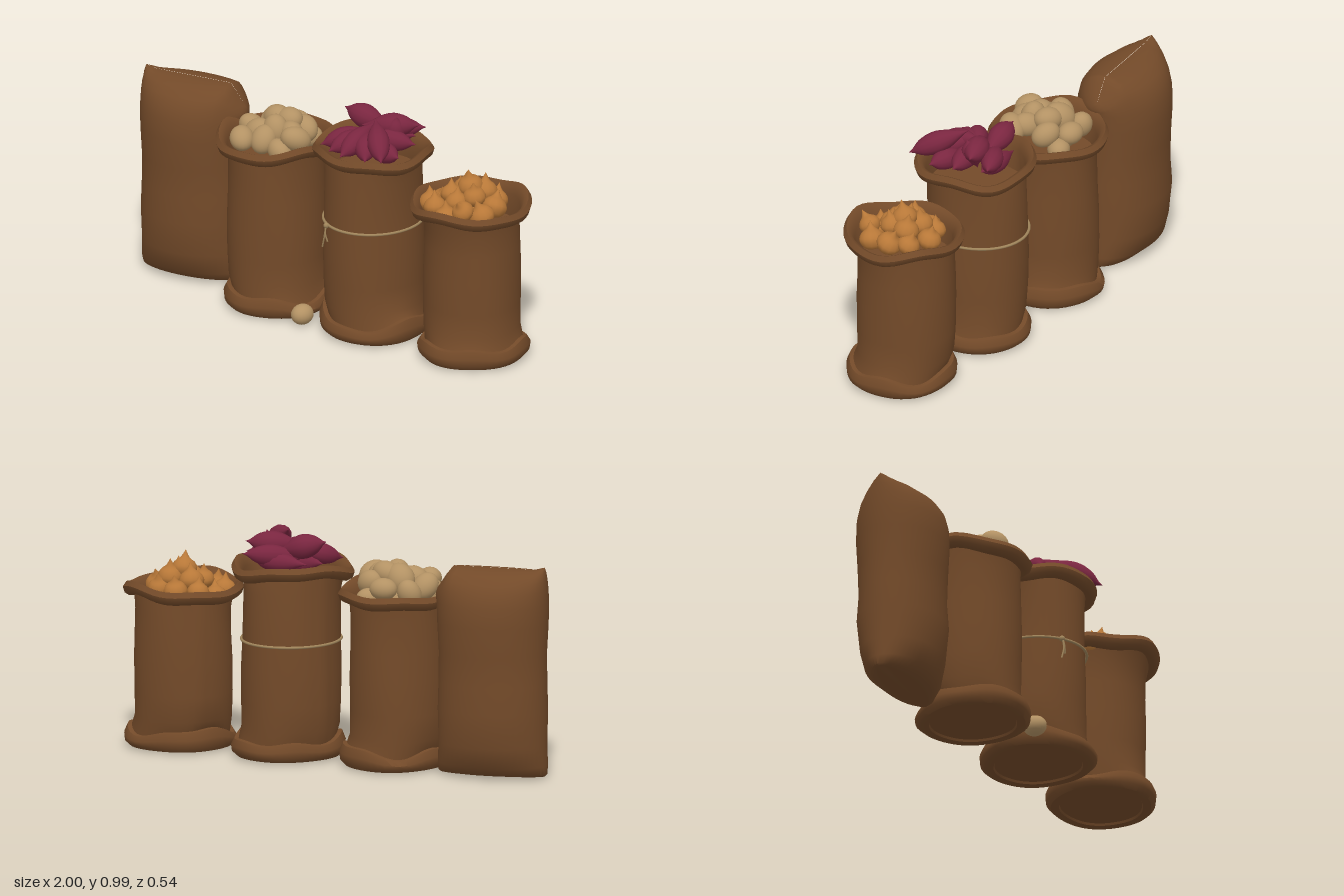
import * as THREE from 'three';
import { mergeVertices, toCreasedNormals } from 'three/addons/utils/BufferGeometryUtils.js';

const mat = (name, color) => new THREE.MeshStandardMaterial({ name, color });
const vec = (p) => new THREE.Vector3(...p);
const { clamp, smoothstep } = THREE.MathUtils;

// Gentle irregular wave around a circle
const wave = (a, s) => (Math.sin(2 * a + s) + Math.sin(3 * a + 2.3 * s) + 0.8 * Math.sin(5 * a + 1.7 * s)) / 2.8;

function weld(geo, crease) {
  geo.deleteAttribute('uv');
  geo.deleteAttribute('normal');
  const welded = mergeVertices(geo, 1e-4);
  if (crease) return toCreasedNormals(welded, crease);
  welded.computeVertexNormals();
  return welded;
}

// Open sack: base, bottom roll, body, rolled rim, inner wall and floor under the filling
function openSackGeometry({ h, seed, depth, back, seam }) {
  const profile = [
    [0, 0.02], [0.18, 0.02], [0.184, 0.01], [0.22, 0.01], [0.24, 0.03], [0.243, 0.058],
    [0.228, 0.088], [0.21, 0.09], [0.209, 0.14], [0.212, 0.25], [0.213, 0.4], [0.209, 0.52],
    [0.208, h - 0.12], [0.214, h - 0.06], [0.236, h - 0.062], [0.256, h - 0.05], [0.264, h - 0.025],
    [0.25, h - 0.002], [0.232, h - 0.01], [0.213, h - 0.05], [0.2, h - 0.14], [0, h - 0.14],
  ].map(([r, y]) => new THREE.Vector2(r, y));
  const geo = new THREE.LatheGeometry(profile, 48);
  const p = geo.attributes.position;
  for (let i = 0; i < p.count; i++) {
    const x = p.getX(i), y = p.getY(i), z = p.getZ(i);
    const a = Math.atan2(x, z);
    const low = clamp(1 - (y - 0.09) / 0.06, 0, 1);
    const high = smoothstep(y, h - 0.16, h - 0.06);
    const ridge = Math.abs(a - seam) < 0.02 && low + high < 0.5 ? 0.025 : 0;
    const swell = 1 + 0.02 * wave(a, seed + y * 3) + 0.035 * (low + high) * wave(a, seed * 2) + ridge;
    const lift = low * clamp((y - 0.02) / 0.06, 0, 1) * 0.03 * wave(a, seed + 2) + high * 0.024 * wave(a, seed + 4);
    const stretch = 1 + (depth - 1) * (1 - high);
    p.setXYZ(i, x * swell + 0.018 * low, y + lift, z * swell * stretch + back * (1 - high) * (1 - low));
  }
  return weld(geo, 0.8);
}

// Closed sack: flat sheet-like seam on top, bulging below
function closedSackGeometry() {
  const rows = [ // height, half width, half depth
    [0.012, 0.235, 0.06], [0.02, 0.243, 0.1], [0.06, 0.245, 0.145], [0.15, 0.24, 0.172], [0.3, 0.243, 0.19],
    [0.42, 0.24, 0.18], [0.55, 0.238, 0.186], [0.68, 0.245, 0.193], [0.77, 0.248, 0.188],
    [0.83, 0.246, 0.17], [0.87, 0.243, 0.142], [0.9, 0.239, 0.1], [0.916, 0.236, 0.05], [0.922, 0.233, 0.001],
  ];
  const n = 48, pos = [], idx = [];
  for (const [y, w, d] of rows) {
    const top = smoothstep(y, 0.75, 0.92);
    for (let i = 0; i < n; i++) {
      const a = (i / n) * Math.PI * 2, c = Math.cos(a);
      const droop = top * (0.1 * Math.max(0, c - 0.72) / 0.28 - 0.012 * Math.max(0, -c - 0.8) / 0.2);
      pos.push(c * w * (c > 0 ? 1 + 0.06 * top : 1), y - droop, Math.sin(a) * d);
    }
  }
  for (let r = 0; r < rows.length - 1; r++) {
    for (let i = 0; i < n; i++) {
      const a = r * n + i, b = r * n + (i + 1) % n;
      idx.push(a, a + n, b, b, a + n, b + n);
    }
  }
  for (let i = 1; i < n - 1; i++) idx.push(0, i, i + 1);
  const geo = new THREE.BufferGeometry();
  geo.setAttribute('position', new THREE.Float32BufferAttribute(pos, 3));
  geo.setIndex(idx);
  return toCreasedNormals(geo, 0.9);
}

const lathe = (pts, seg) => weld(new THREE.LatheGeometry(
  new THREE.SplineCurve(pts.map(([x, y]) => new THREE.Vector2(x, y))).getPoints(18)
    .map((v) => v.setX(Math.max(0, v.x))), seg));

export function createModel() {
  const model = new THREE.Group();
  model.name = 'produceSacks';
  const burlap = mat('burlapBrown', 0x734a29);
  const tan = mat('potatoTan', 0xb39264);
  const purple = mat('sweetPotatoPurple', 0x7a2640);
  const orange = mat('onionOrange', 0xb87838);
  const twine = mat('twineBeige', 0x9f845a);

  const add = (parent, name, geo, material) => {
    const mesh = new THREE.Mesh(geo, material);
    mesh.name = name;
    parent.add(mesh);
    return mesh;
  };
  const group = (name) => {
    const g = new THREE.Group();
    g.name = name;
    model.add(g);
    return g;
  };

  // Sacks, the right-hand two with a raised seam behind
  const closed = add(model, 'closedSack', closedSackGeometry(), burlap);
  closed.position.set(-0.755, 0, -0.05);
  closed.rotation.y = 0.15;
  [
    { name: 'potatoSack', x: -0.285, h: 0.79, seed: 1, depth: 1.04, back: 0, seam: 9 },
    { name: 'sweetPotatoSack', x: 0.225, h: 0.865, seed: 2.6, depth: 1.08, back: -0.005, seam: -Math.PI * 0.625 },
    { name: 'onionSack', x: 0.735, h: 0.73, seed: 4.4, depth: 1, back: -0.015, seam: -Math.PI * 0.75 },
  ].forEach((s) => { add(model, s.name, openSackGeometry(s), burlap).position.x = s.x; });

  // Potatoes
  const potatoes = group('potatoes');
  const potatoGeo = new THREE.SphereGeometry(1, 20, 14);
  [
    [-0.27, 0.8, -0.13, 0.052], [-0.38, 0.785, -0.1, 0.053], [-0.18, 0.81, -0.065, 0.055], [-0.31, 0.835, -0.04, 0.062],
    [-0.4, 0.795, 0.02, 0.056], [-0.24, 0.85, -0.03, 0.056], [-0.27, 0.8, 0.12, 0.057], [-0.18, 0.825, 0.04, 0.053],
    [-0.13, 0.82, 0.08, 0.058], [-0.355, 0.8, 0.165, 0.053], [-0.33, 0.81, 0.08, 0.057], [-0.25, 0.83, 0.06, 0.057],
    [-0.18, 0.77, 0.13, 0.052], [-0.4, 0.765, 0.09, 0.05], [-0.2, 0.75, -0.12, 0.05], [-0.3, 0.74, -0.05, 0.06],
  ].forEach(([x, y, z, r], i) => {
    const p = add(potatoes, 'potato', potatoGeo, tan);
    p.position.set(x, y, z);
    p.scale.set(r * 1.2, r * 0.93, r);
    p.rotation.set(i * 0.7, i * 1.3, Math.sin(i * 2) * 0.5);
  });
  const loose = add(potatoes, 'loosePotato', potatoGeo, tan);
  loose.position.set(-0.035, 0.05, 0.165);
  loose.scale.set(0.047, 0.045, 0.054);

  // Sweet potatoes, each spanning two points
  const sweet = group('sweetPotatoes');
  const sweetGeo = lathe([[0, -0.5], [0.22, -0.38], [0.78, -0.16], [1, 0.06], [0.72, 0.28], [0.2, 0.42], [0, 0.5]], 12);
  [
    [[0.26, 0.91, -0.08], [0.035, 0.968, -0.055], 0.054], [[0.13, 0.89, -0.05], [0.38, 0.91, -0.18], 0.048],
    [[0.16, 0.93, 0], [0.4, 0.95, -0.1], 0.054], [[0.17, 0.9, 0.02], [0.43, 0.89, -0.03], 0.049],
    [[0.25, 0.99, 0.02], [0.42, 0.885, 0.22], 0.05], [[0.2, 0.93, 0.02], [0.32, 0.86, 0.2], 0.047],
    [[0.22, 0.95, -0.02], [0.2, 0.86, 0.22], 0.048], [[0.21, 0.92, -0.01], [0.045, 0.86, 0.145], 0.046],
    [[0.2, 0.92, 0], [0.12, 0.86, 0.19], 0.045], [[0.1, 0.87, -0.11], [0.36, 0.88, -0.13], 0.045],
    [[0.23, 0.87, 0.05], [0.43, 0.87, 0.1], 0.048], [[0.09, 0.85, 0.03], [0.29, 0.86, 0.04], 0.055],
    [[0.29, 0.85, -0.06], [0.33, 0.995, -0.03], 0.045],
  ].forEach(([a, b, r]) => {
    const from = vec(a), to = vec(b), dir = to.clone().sub(from);
    const m = add(sweet, 'sweetPotato', sweetGeo, purple);
    m.position.copy(from).lerp(to, 0.5);
    m.scale.set(r, dir.length(), r);
    m.quaternion.setFromUnitVectors(new THREE.Vector3(0, 1, 0), dir.normalize());
  });

  // Onions with pointed tops
  const onions = group('onions');
  const onionGeo = lathe([[0, -0.046], [0.034, -0.037], [0.053, -0.005], [0.042, 0.024], [0.021, 0.041], [0.009, 0.058], [0, 0.076]], 12);
  [
    [0.72, 0.71, -0.13], [0.63, 0.705, -0.09], [0.815, 0.71, -0.09], [0.68, 0.745, -0.05], [0.78, 0.755, -0.05],
    [0.575, 0.695, 0.065], [0.66, 0.74, 0.03], [0.78, 0.755, 0.03], [0.855, 0.71, -0.015], [0.855, 0.7, 0.08],
    [0.72, 0.73, 0.075], [0.795, 0.725, 0.14], [0.63, 0.7, 0.11], [0.735, 0.785, -0.005], [0.71, 0.68, 0.14],
    [0.58, 0.68, -0.02], [0.74, 0.67, -0.02],
  ].forEach(([x, y, z], i) => {
    const o = add(onions, 'onion', onionGeo, orange);
    o.position.set(x, y, z);
    o.rotation.set(z * 2 + 0.25 * Math.sin(i * 3), i, (0.73 - x) * 1.8);
    o.scale.setScalar(1 + 0.08 * Math.sin(i * 5));
  });

  // Twine tied round the middle sack, with knot and loose ends
  const tie = group('twineTie');
  const ring = add(tie, 'twineLoop', new THREE.TorusGeometry(0.214, 0.006, 8, 48), twine);
  ring.position.set(0.225, 0.52, -0.005);
  ring.rotation.x = Math.PI / 2;
  ring.scale.y = 1.085;
  const knot = add(tie, 'twineKnot', new THREE.SphereGeometry(0.013, 10, 8), twine);
  knot.position.set(0.12, 0.518, 0.205);
  for (const [dx, dy] of [[-0.015, -0.1], [0.012, -0.07]]) {
    const path = new THREE.CatmullRomCurve3([
      vec([0.12, 0.518, 0.208]), vec([0.12 + dx * 0.2, 0.518 + dy * 0.5, 0.216]), vec([0.12 + dx, 0.518 + dy, 0.213]),
    ]);
    add(tie, 'twineEnd', new THREE.TubeGeometry(path, 10, 0.004, 6), twine);
  }
  return model;
}
